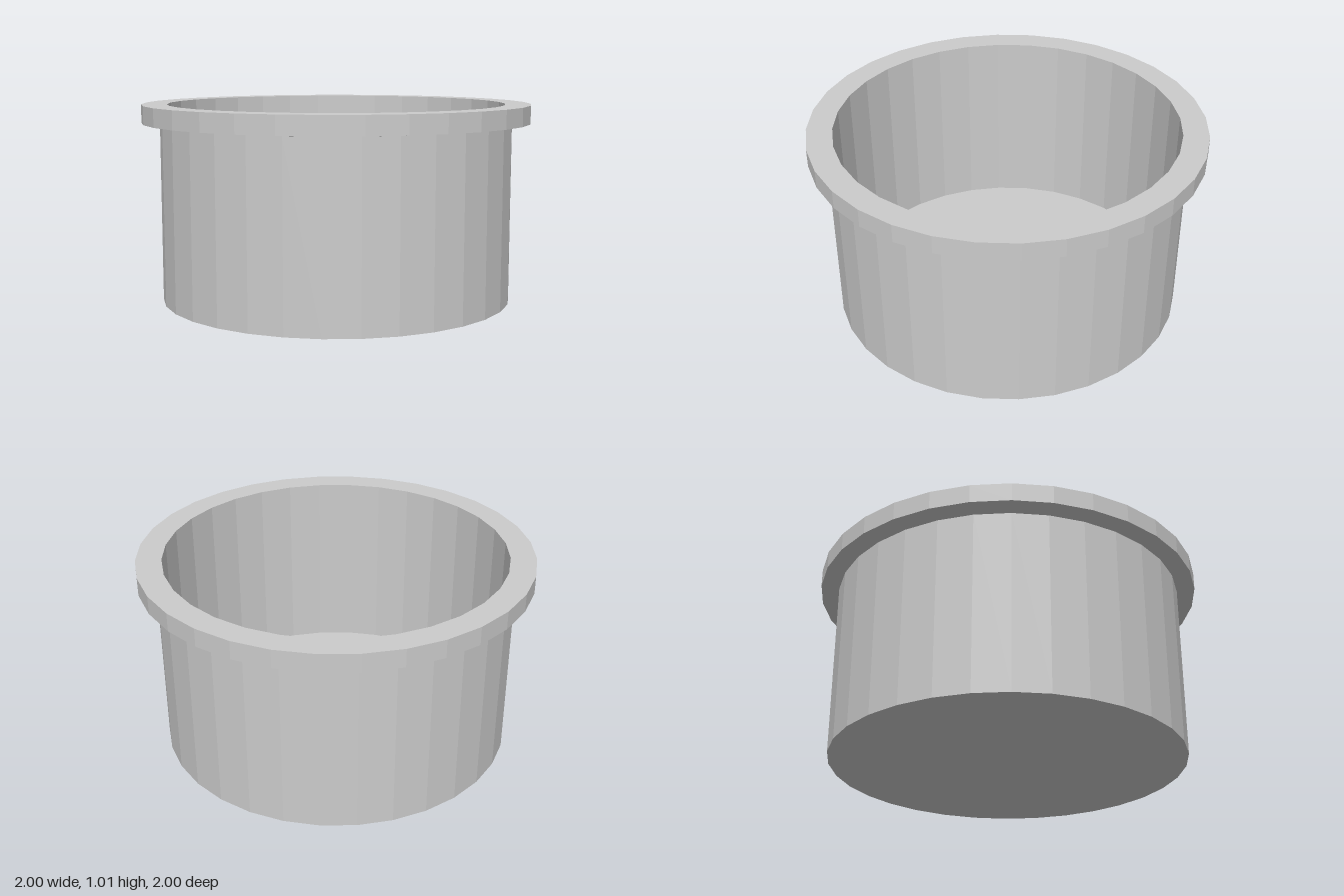
import * as THREE from 'three';

const SIDES = 32;

// Turns a [radius, height] profile around the y axis
function turned(name, points, material) {
  const profile = points.map(([r, y]) => new THREE.Vector2(r, y));
  const mesh = new THREE.Mesh(new THREE.LatheGeometry(profile, SIDES), material);
  mesh.name = name;
  return mesh;
}

export function createModel() {
  const group = new THREE.Group();
  group.name = 'flangedCup';
  const material = new THREE.MeshStandardMaterial({ color: 0xcccccc, flatShading: true });

  const outer = 0.907, inner = 0.87, flange = 1;
  const top = 1.013, lip = 0.92, neck = 0.912, floor = 0.04;

  // Closed base and outer wall
  group.add(turned('outerWall', [[0, 0], [outer, 0], [outer, neck]], material));
  // Flange with a slightly sloped underside and a flat top
  group.add(turned('rim', [[outer, neck], [flange, lip], [flange, top], [inner, top]], material));
  // Inside wall and floor
  group.add(turned('innerWall', [[inner, top], [inner, floor], [0, floor]], material));

  return group;
}
